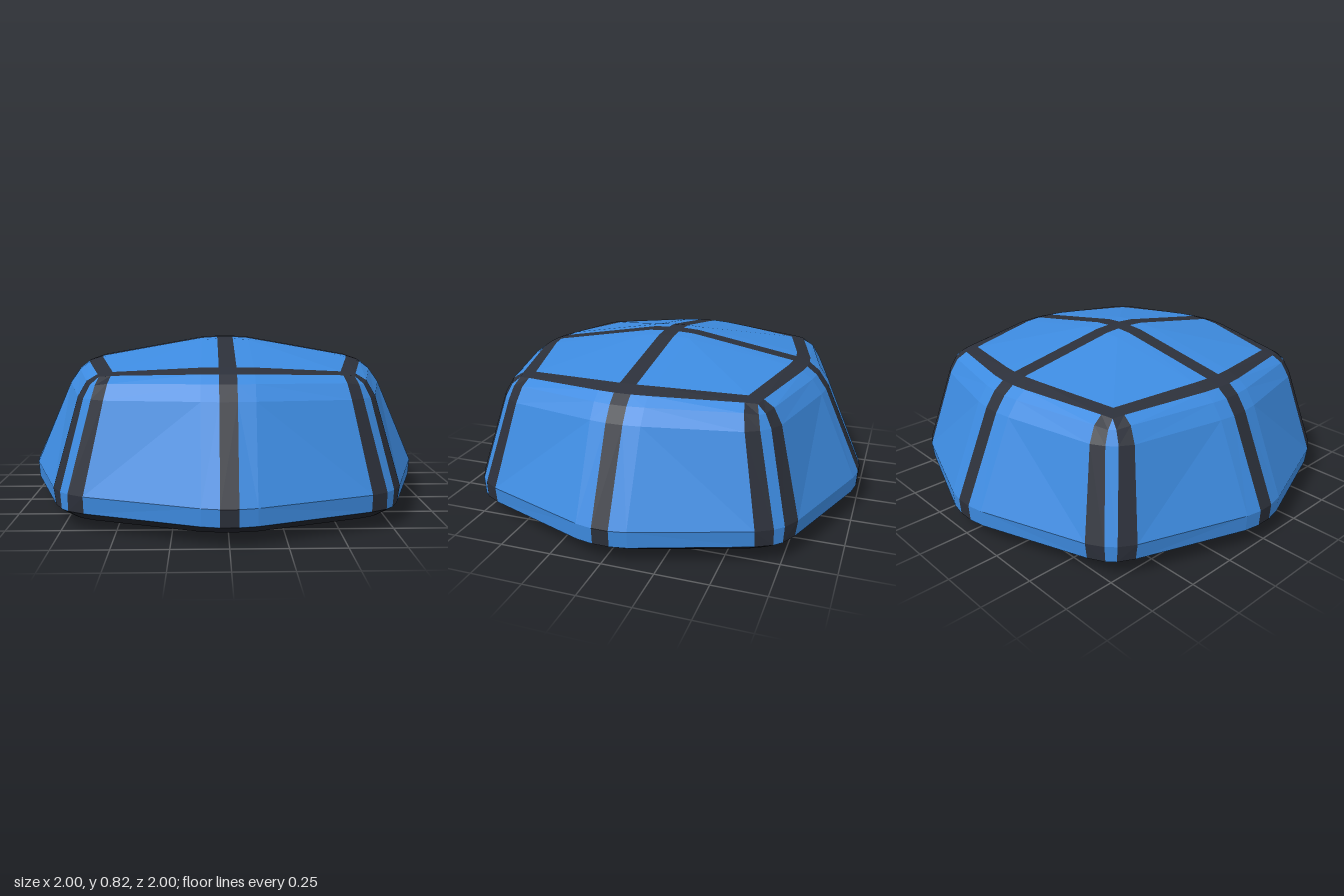
import * as THREE from 'three';

// Each ring: four [x, z, y] points of one octant, from the middle seam to the corner
const RINGS = [
  [[.04, .64, .722], [.12, .63, .72], [.53, .53, .69], [.53, .53, .69]],     // inner edge of rim seam
  [[.04, .71, .698], [.12, .70, .697], [.53, .60, .68], [.585, .585, .675]], // outer edge of rim seam
  [[.04, .76, .66], [.12, .75, .66], [.54, .65, .65], [.60, .625, .64]],
  [[.04, .81, .59], [.12, .80, .59], [.555, .69, .58], [.615, .655, .58]],
  [[.04, 1, .17], [.12, .985, .17], [.64, .80, .17], [.715, .755, .17]],
  [[.04, .995, .09], [.12, .98, .09], [.64, .79, .09], [.715, .75, .09]],    // bottom of the panels
  [[.04, .92, .045], [.12, .91, .045], [.60, .735, .043], [.665, .70, .043]],
  [[.04, .60, .012], [.12, .59, .012], [.39, .48, .012], [.43, .455, .012]],
  [[.04, .30, 0], [.12, .29, 0], [.20, .24, 0], [.22, .225, 0]],
];

// Mirror an octant and turn it four times into a closed 32-point ring
function fullRing(oct) {
  const quarter = [...oct, ...oct.map(([x, z, y]) => [z, x, y]).reverse()];
  const ring = [];
  for (let q = 0; q < 4; q++) {
    const a = q * Math.PI / 2, c = Math.cos(a), s = Math.sin(a);
    for (const [x, z, y] of quarter) ring.push(new THREE.Vector3(x * c + z * s, y, z * c - x * s));
  }
  return ring;
}

// Collect triangles, leaving out those without area
function addTri(list, a, b, c) {
  const area = b.clone().sub(a).cross(c.clone().sub(a)).length();
  if (area > 1e-7) for (const p of [a, b, c]) list.push(p.x, p.y, p.z);
}

function addQuad(list, a, b, c, d, flip) {
  if (flip) [a, b, c, d] = [b, c, d, a];
  addTri(list, a, b, c);
  addTri(list, a, c, d);
}

function toMesh(name, list, color) {
  const geometry = new THREE.BufferGeometry();
  geometry.setAttribute('position', new THREE.Float32BufferAttribute(list, 3));
  geometry.computeVertexNormals();
  const material = new THREE.MeshStandardMaterial({ color, flatShading: true });
  const mesh = new THREE.Mesh(geometry, material);
  mesh.name = name;
  return mesh;
}

export function createModel() {
  const panels = [], seams = [], base = [];

  // Top: 5 x 5 cells, the middle row and column being the cross seam
  const inner = [0, -.12, -.04, .04, .12, 0];
  const edge = [.53, .63, .64, .64, .63, .53];
  const isEdge = i => i === 0 || i === 5;
  const across = (i, j) => isEdge(i) ? Math.sign(i - 2.5) * edge[j] : inner[i];
  const drop = i => Math.abs(inner[i]) > .1 ? .005 : 0;
  const topPoint = (i, j) => {
    let y = .82 - drop(i) - drop(j);
    if (isEdge(i) && isEdge(j)) y = .69;
    else if (isEdge(i) || isEdge(j)) y = .722 - (drop(i) + drop(j)) * .4;
    return new THREE.Vector3(across(i, j), y, across(j, i));
  };
  for (let i = 0; i < 5; i++) for (let j = 0; j < 5; j++) {
    const list = i === 2 || j === 2 ? seams : panels;
    addQuad(list, topPoint(i, j), topPoint(i, j + 1), topPoint(i + 1, j + 1), topPoint(i + 1, j),
      (i - 2) * (j - 2) < 0);
  }

  // Sides: rim seam, then panels split by middle and corner seams, then the base
  const rings = RINGS.map(fullRing);
  const seamColumns = [2, 4, 7];
  for (let r = 0; r + 1 < rings.length; r++) {
    const upper = rings[r], lower = rings[r + 1];
    for (let k = 0; k < 32; k++) {
      const n = (k + 1) % 32;
      const dark = r === 0 || seamColumns.includes(k % 8);
      const list = r >= 5 ? base : dark ? seams : panels;
      addQuad(list, upper[k], lower[k], lower[n], upper[n], k % 8 >= 4);
    }
  }

  // Close the underside
  const last = rings[rings.length - 1];
  const centre = new THREE.Vector3(0, 0, 0);
  last.forEach((p, k) => addTri(base, p, centre, last[(k + 1) % 32]));

  const group = new THREE.Group();
  group.name = 'panelledDome';
  group.add(
    toMesh('panels', panels, 0x3d8be0),
    toMesh('seams', seams, 0x2c303a),
    toMesh('base', base, 0x20232b),
  );
  return group;
}
